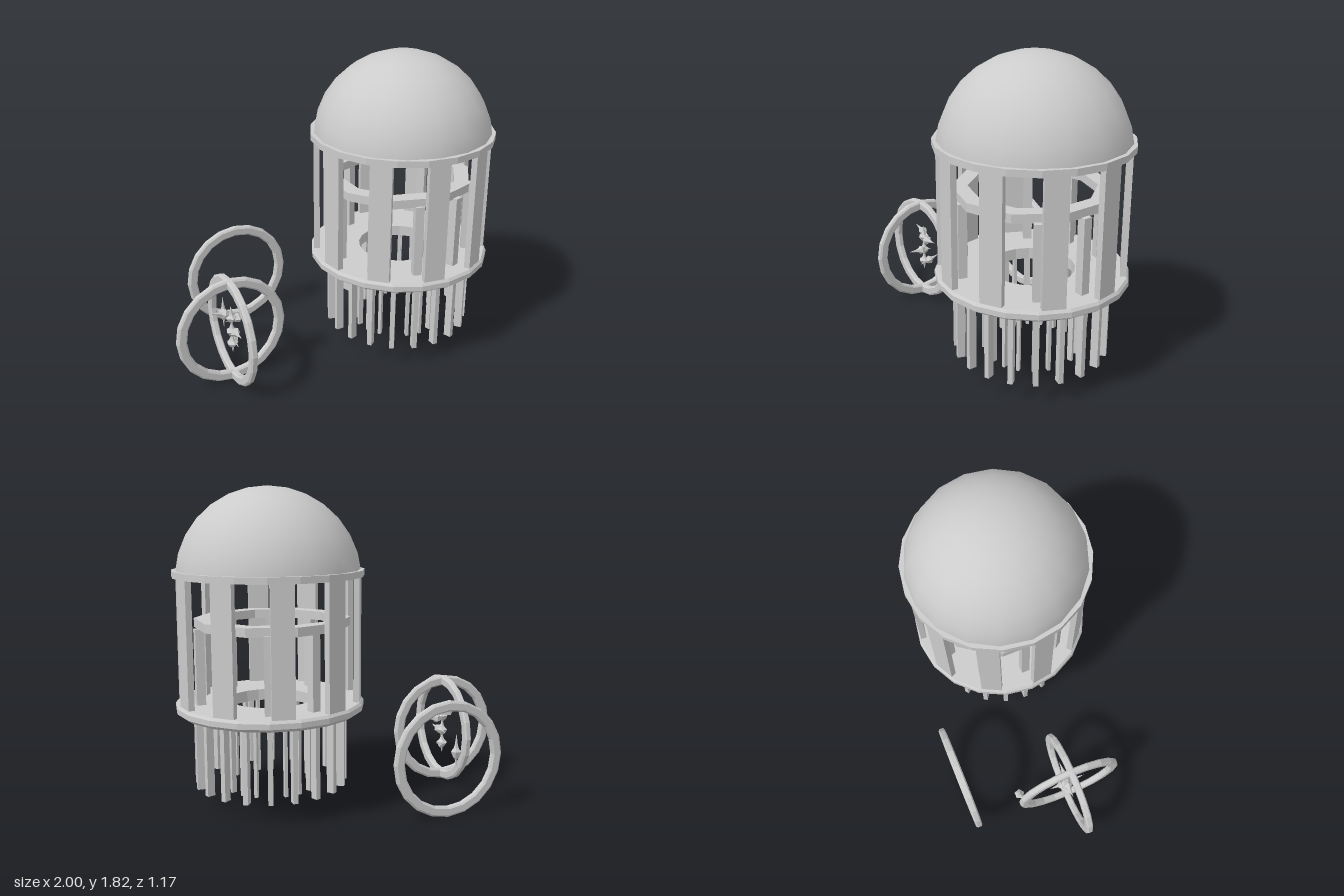
import * as THREE from 'three';

const flat = new THREE.MeshStandardMaterial({ color: 0xcccccc, flatShading: true });
const smooth = new THREE.MeshStandardMaterial({ color: 0xcccccc, side: THREE.DoubleSide });

function add(parent, name, geo, mat = flat) {
  const m = new THREE.Mesh(geo, mat);
  m.name = name;
  parent.add(m);
  return m;
}

// Closed ring turned from a counter-clockwise (radius, height) outline
function turned(points, sides) {
  const p = points.map(([r, y]) => new THREE.Vector2(r, y));
  p.push(p[0].clone());
  return new THREE.LatheGeometry(p, sides);
}

// Boxes spread evenly round the tower axis, each facing outward
function radialBoxes(parent, name, count, start, radius, [w, d], y0, y1) {
  const geo = new THREE.BoxGeometry(w, y1 - y0, d);
  for (let i = 0; i < count; i++) {
    const a = start + (i * Math.PI * 2) / count;
    const m = add(parent, name, geo);
    m.position.set(Math.sin(a) * radius, (y0 + y1) / 2, Math.cos(a) * radius);
    m.rotation.y = a;
  }
}

// Free-standing hoop with a flat, chamfered section
function hoop(parent, x, z, turn) {
  const geo = turned([
    [0.274, -0.012], [0.284, -0.02], [0.32, -0.02], [0.331, -0.012],
    [0.331, 0.012], [0.32, 0.02], [0.284, 0.02], [0.274, 0.012],
  ], 20);
  geo.rotateX(Math.PI / 2);
  const m = add(parent, 'hoop', geo);
  m.position.set(x, 0.333, z);
  m.rotation.y = turn;
}

// Long crystal: pointed at both ends with a swollen middle
function crystal(parent, pos, length, radius, rotation = [0, 0, 0]) {
  const profile = [[0, -0.5], [0.25, -0.22], [0.6, -0.16], [1, 0], [0.5, 0.1], [0.3, 0.2], [0, 0.5]];
  const pts = profile.map(([r, y]) => new THREE.Vector2(r * radius, y * length));
  const m = add(parent, 'crystal', new THREE.LatheGeometry(pts, 5));
  m.position.set(...pos);
  m.rotation.set(...rotation);
}

export function createModel() {
  const model = new THREE.Group();
  const deg = Math.PI / 180;

  // Domed tower
  const tower = new THREE.Group();
  tower.name = 'tower';
  tower.position.set(0.455, 0, 0.04);
  model.add(tower);

  const domeR = 0.523;
  const dome = add(tower, 'dome',
    new THREE.SphereGeometry(domeR, 18, 7, 0, Math.PI * 2, 0, Math.acos(0.04 / domeR)), smooth);
  dome.position.y = 1.3;

  add(tower, 'upperRing', turned([[0.31, 1.325], [0.54, 1.325], [0.54, 1.362], [0.31, 1.362]], 20));
  add(tower, 'floorRing', turned(
    [[0.24, 0.555], [0.51, 0.555], [0.537, 0.575], [0.537, 0.605], [0.525, 0.62], [0.24, 0.62]], 20));
  const band = add(tower, 'middleRing',
    turned([[0.35, 1.04], [0.44, 1.04], [0.44, 1.09], [0.35, 1.09]], 10));
  band.position.set(-0.015, 0, -0.01);

  // Outer columns, inner posts and two rows of hanging bars
  radialBoxes(tower, 'outerColumn', 10, -9.5 * deg, 0.5, [0.125, 0.035], 0.61, 1.33);
  radialBoxes(tower, 'innerPost', 10, 18 * deg, 0.405, [0.05, 0.05], 0.61, 1.045);
  radialBoxes(tower, 'outerHangingBar', 20, 0, 0.415, [0.028, 0.045], 0.13, 0.56);
  radialBoxes(tower, 'innerHangingBar', 20, 0, 0.262, [0.018, 0.03], 0.115, 0.56);

  // Crossed hoops and the single hoop behind
  hoop(model, -0.67, 0.04, 0);
  hoop(model, -0.67, 0.04, Math.PI / 2);
  hoop(model, -0.375, -0.572, 0);

  // Crystal cluster inside the crossed hoops
  const cluster = new THREE.Group();
  cluster.name = 'crystalCluster';
  cluster.position.set(-0.665, 0, 0.03);
  model.add(cluster);
  crystal(cluster, [0, 0.41, 0], 0.15, 0.035);
  crystal(cluster, [0, 0.32, 0], 0.15, 0.035);
  crystal(cluster, [0, 0.24, 0], 0.14, 0.035);
  crystal(cluster, [-0.035, 0.435, -0.015], 0.17, 0.03, [0, 0, 75 * deg]);
  crystal(cluster, [0.045, 0.395, 0], 0.17, 0.03, [0, 0, -85 * deg]);
  crystal(cluster, [0.01, 0.32, 0.03], 0.18, 0.03, [85 * deg, 0, 0]);
  crystal(cluster, [0.02, 0.24, -0.03], 0.15, 0.03, [-75 * deg, 0, 0]);

  // Lone crystal outside the hoops
  crystal(model, [-0.6, 0.265, -0.265], 0.22, 0.032);

  return model;
}
